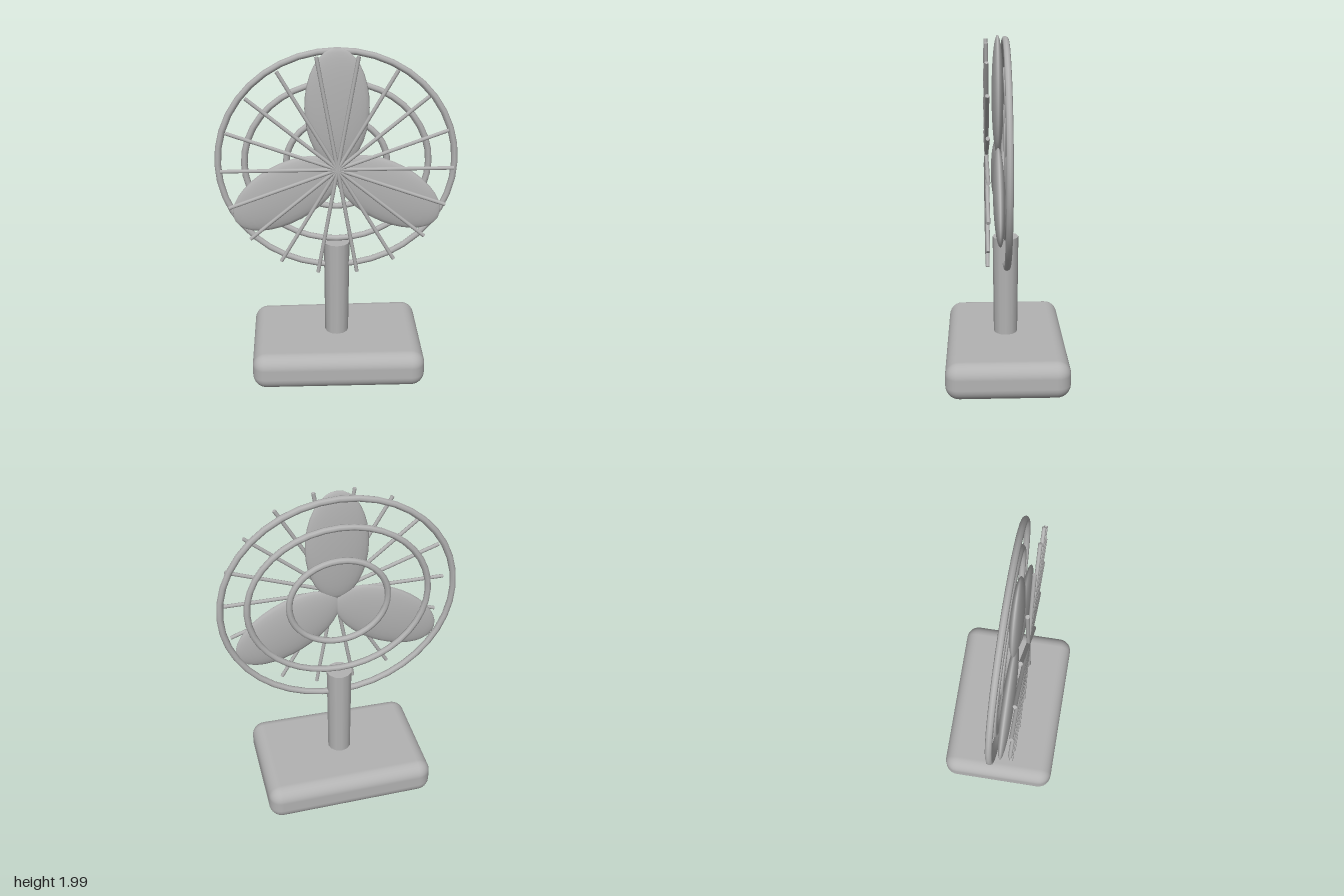
import * as THREE from 'three';
import { RoundedBoxGeometry } from 'three/addons/geometries/RoundedBoxGeometry.js';

const HUB_Y = 1.325;

export function createModel() {
  const model = new THREE.Group();
  model.name = 'deskFan';
  const grey = new THREE.MeshStandardMaterial({ color: 0xb3b3b3 });
  grey.name = 'plain grey';

  const add = (name, geometry, parent = model) => {
    const mesh = new THREE.Mesh(geometry, grey);
    mesh.name = name;
    parent.add(mesh);
    return mesh;
  };

  // Base: a soft slab, slightly deeper toward its left side
  const slab = new RoundedBoxGeometry(1.02, 0.22, 0.704, 4, 0.08);
  const p = slab.attributes.position;
  for (let i = 0; i < p.count; i++) p.setZ(i, p.getZ(i) * (1 + 0.03 * p.getX(i)));
  add('base', slab).position.y = 0.12;

  // Post, sunk a little into the base
  add('post', new THREE.CylinderGeometry(0.076, 0.07, 0.68, 12)).position.y = 0.49;

  // Fan head
  const head = new THREE.Group();
  head.name = 'fanHead';
  head.position.y = HUB_Y;
  model.add(head);

  // Rear guard rings, a little wider than tall: [half width, half height]
  const tube = 0.019;
  [[0.692, 0.667], [0.542, 0.495], [0.305, 0.288]].forEach(([w, h], i) => {
    const ring = new THREE.TorusGeometry(w - tube, tube, 8, 40);
    ring.scale(1, (h - tube) / (w - tube), 1);
    add(`guardRing${i + 1}`, ring, head);
  });

  // Three flattened oval blades
  for (let i = 0; i < 3; i++) {
    const blade = new THREE.SphereGeometry(1, 24, 16);
    blade.scale(0.18, 0.338, 0.034);
    blade.translate(0, 0.337, 0.045);
    blade.rotateZ((i * Math.PI * 2) / 3);
    add(`blade${i + 1}`, blade, head);
  }

  // Front grille: thin rods radiating from the hub
  for (let i = 0; i < 18; i++) {
    const rod = new THREE.CylinderGeometry(0.011, 0.011, 0.652, 8);
    rod.translate(0, 0.326, 0.11);
    rod.rotateZ(((i * 20 + 10) * Math.PI) / 180);
    add(`grilleRod${i + 1}`, rod, head);
  }

  return model;
}
